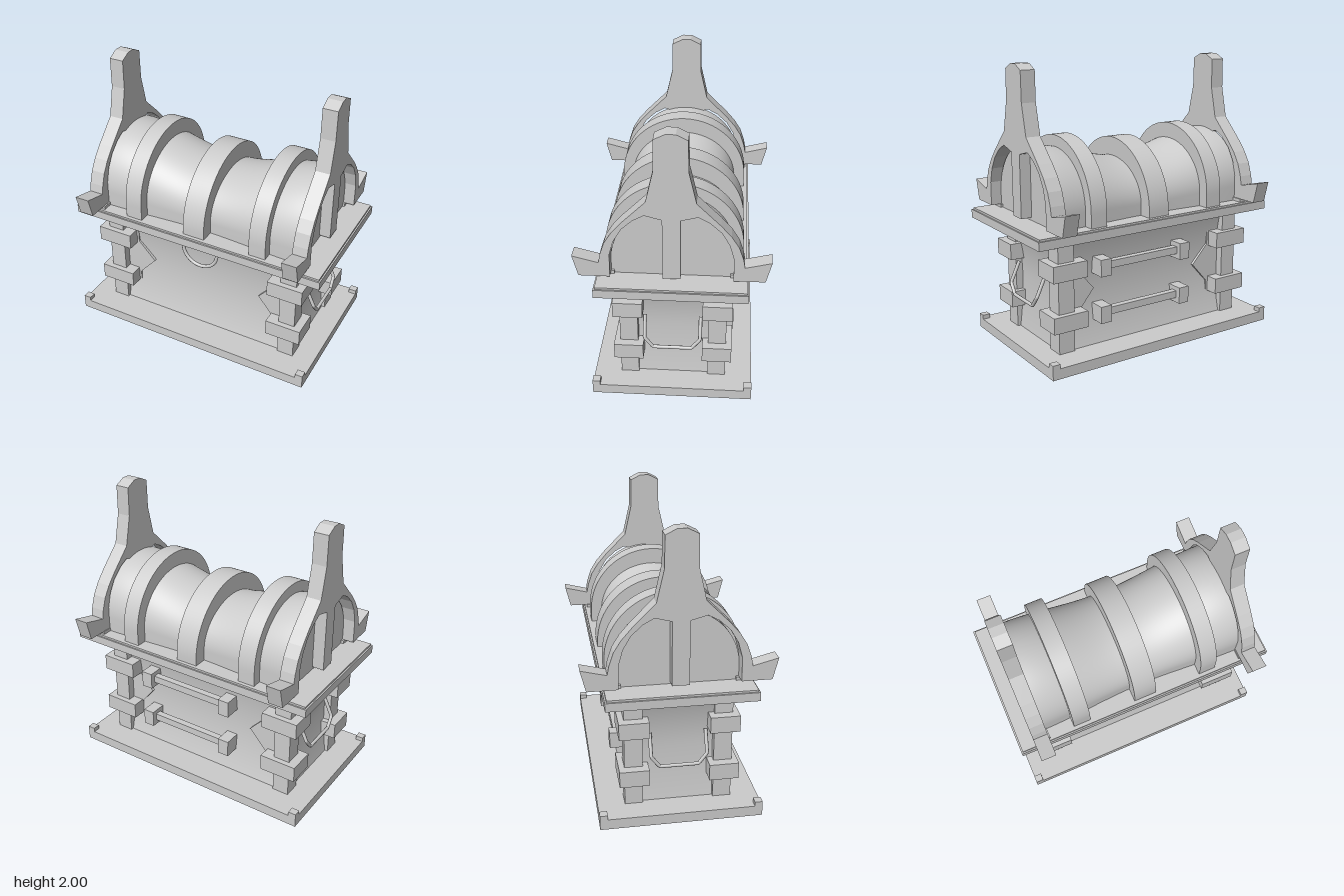
import * as THREE from 'three';
import { toCreasedNormals } from 'three/addons/utils/BufferGeometryUtils.js';

export function createModel() {
  const model = new THREE.Group();
  model.name = 'chest';
  const grey = new THREE.MeshStandardMaterial({ color: 0xcccccc });
  grey.name = 'plain grey';

  const add = (name, geometry) => {
    const mesh = new THREE.Mesh(geometry, grey);
    mesh.name = name;
    model.add(mesh);
    return mesh;
  };
  // Box given by its limits on each axis
  const box = (name, x0, x1, y0, y1, z0, z1) => {
    const g = new THREE.BoxGeometry(x1 - x0, y1 - y0, z1 - z0);
    g.translate((x0 + x1) / 2, (y0 + y1) / 2, (z0 + z1) / 2);
    return add(name, g);
  };
  // Side profile (z, y) extruded along x
  const extrudeX = (shape, x0, x1, steps = 1) => {
    const g = new THREE.ExtrudeGeometry(shape, { depth: x1 - x0, steps, bevelEnabled: false, curveSegments: 32 });
    g.rotateY(Math.PI / 2);
    g.translate(x0, 0, 0);
    return g;
  };
  // Straight-sided arch standing on y = 1
  const arch = (radius, top) => {
    const s = new THREE.Shape();
    const spring = top - radius;
    s.moveTo(radius, 1);
    s.lineTo(radius, spring);
    s.absarc(0, spring, radius, 0, Math.PI, false);
    s.lineTo(-radius, 1);
    s.closePath();
    return s;
  };

  // Feet and base tray with raised corners
  for (const [x0, x1] of [[-0.69, -0.42], [0.38, 0.65]])
    for (const [z0, z1] of [[-0.345, -0.145], [0.15, 0.35]]) box('foot', x0, x1, 0, 0.1, z0, z1);
  box('basePlate', -0.91, 0.86, 0.1, 0.17, -0.525, 0.525);
  for (const [x0, x1] of [[-0.91, -0.857], [0.807, 0.86]])
    for (const [z0, z1] of [[-0.525, -0.475], [0.475, 0.525]]) box('baseCornerLip', x0, x1, 0.17, 0.2, z0, z1);

  // Body with walls that curve inward at mid height
  const body = new THREE.BoxGeometry(2, 0.78, 2, 1, 24, 1);
  const p = body.attributes.position;
  for (let i = 0; i < p.count; i++) {
    const t = p.getY(i) / 0.39;
    const flare = t * t;
    const halfX = 0.68 + (t > 0 ? 0.075 : 0.03) * flare;
    p.setXYZ(i, -0.02 + p.getX(i) * halfX, 0.55 + p.getY(i), p.getZ(i) * (0.275 + 0.055 * flare));
  }
  body.computeVertexNormals();
  add('bodyWalls', body);

  // Corner posts with two clasps each
  for (const [px0, px1, cx0, cx1] of [[-0.75, -0.635, -0.81, -0.555], [0.595, 0.71, 0.515, 0.765]])
    for (const side of [-1, 1]) {
      const z = (a, b) => (side > 0 ? [a, b] : [-b, -a]);
      box('cornerPost', px0, px1, 0.17, 0.93, ...z(0.23, 0.348));
      for (const y of [0.33, 0.67]) box('cornerClasp', cx0, cx1, y, y + 0.11, ...z(0.193, 0.385));
    }

  // Pointed plates beside the posts, front and back
  for (const [outer, inner, tip] of [[-0.64, -0.54, -0.415], [0.6, 0.53, 0.415]])
    for (const side of [-1, 1]) {
      const s = new THREE.Shape([
        [outer, 0.82], [inner, 0.78], [inner, 0.685], [tip, 0.55], [inner, 0.41], [inner, 0.34], [outer, 0.3],
      ].map(([x, y]) => new THREE.Vector2(x, y)));
      const g = new THREE.ExtrudeGeometry(s, { depth: 0.04, bevelEnabled: false });
      g.translate(0, 0, side > 0 ? 0.255 : -0.295);
      add('pointedPlate', g);
    }

  // Ring on the front
  const ring = new THREE.TorusGeometry(0.128, 0.012, 10, 48);
  ring.translate(0, 0.835, 0.36);
  add('frontRing', ring);

  // Two rails on the back
  for (const y of [0.33, 0.65]) {
    box('backRail', -0.28, 0.4, y + 0.035, y + 0.085, -0.36, -0.315);
    for (const x of [-0.3, 0.34]) box('railBlock', x, x + 0.08, y, y + 0.115, -0.395, -0.26);
  }

  // Bent handles on both ends
  for (const side of [-1, 1]) {
    const pts = [
      [0.71, 0.66, 0.18], [0.775, 0.52, 0.18], [0.778, 0.45, 0.125],
      [0.778, 0.45, -0.125], [0.775, 0.52, -0.18], [0.71, 0.66, -0.18],
    ].map(([x, y, z]) => new THREE.Vector3(side * x - (side < 0 ? 0.008 : 0), y, z));
    const path = new THREE.CurvePath();
    for (let i = 1; i < pts.length; i++) path.add(new THREE.LineCurve3(pts[i - 1], pts[i]));
    add('endHandle', new THREE.TubeGeometry(path, 60, 0.012, 8, false));
  }

  // Rim with a slightly stepped top
  box('rim', -0.915, 0.91, 0.93, 0.987, -0.475, 0.475);
  box('rimTop', -0.905, 0.9, 0.987, 1, -0.465, 0.465);

  // Saddle-shaped lid: lowest and narrowest in the middle
  const lid = extrudeX(arch(0.38, 1.48), -0.73, 0.73, 32);
  const q = lid.attributes.position;
  for (let i = 0; i < q.count; i++) {
    const dip = 0.5 + 0.5 * Math.cos((Math.PI * q.getX(i)) / 0.73);
    q.setY(i, 1 + (q.getY(i) - 1) * (1 - 0.28 * dip));
    q.setZ(i, q.getZ(i) * (1 - 0.09 * dip));
  }
  add('lid', toCreasedNormals(lid, 0.6));

  // Bands over the lid
  for (const [x0, x1, top] of [[-0.525, -0.405, 1.53], [-0.08, 0.075, 1.475], [0.403, 0.52, 1.53]])
    add('lidBand', toCreasedNormals(extrudeX(arch(0.44, top), x0, x1), 0.6));

  // End frames: horned feet, arched openings, centre bar and tall finial
  const half = [
    [0.055, 1.02], [0.055, 1.44], [0.16, 1.468], [0.23, 1.43], [0.3, 1.365], [0.35, 1.28], [0.378, 1.18],
    [0.38, 1.02], [0.575, 1.02], [0.61, 1.162], [0.447, 1.12], [0.436, 1.18], [0.407, 1.265], [0.36, 1.34],
    [0.295, 1.415], [0.15, 1.56], [0.103, 1.765], [0.1, 1.965], [0.03, 2],
  ];
  const outline = [...half, ...half.map(([z, y]) => [-z, y]).reverse()];
  const frame = new THREE.Shape(outline.map(([z, y]) => new THREE.Vector2(z, y)));
  for (const [x0, x1] of [[-0.81, -0.71], [0.705, 0.805]]) {
    add('endFrame', extrudeX(frame, x0, x1));
    for (const [z0, z1] of [[-0.45, -0.36], [0.36, 0.45]])
      box('frameFoot', x0 < 0 ? -0.75 : 0.7, x0 < 0 ? -0.7 : 0.745, 1, 1.022, z0, z1);
  }

  return model;
}
